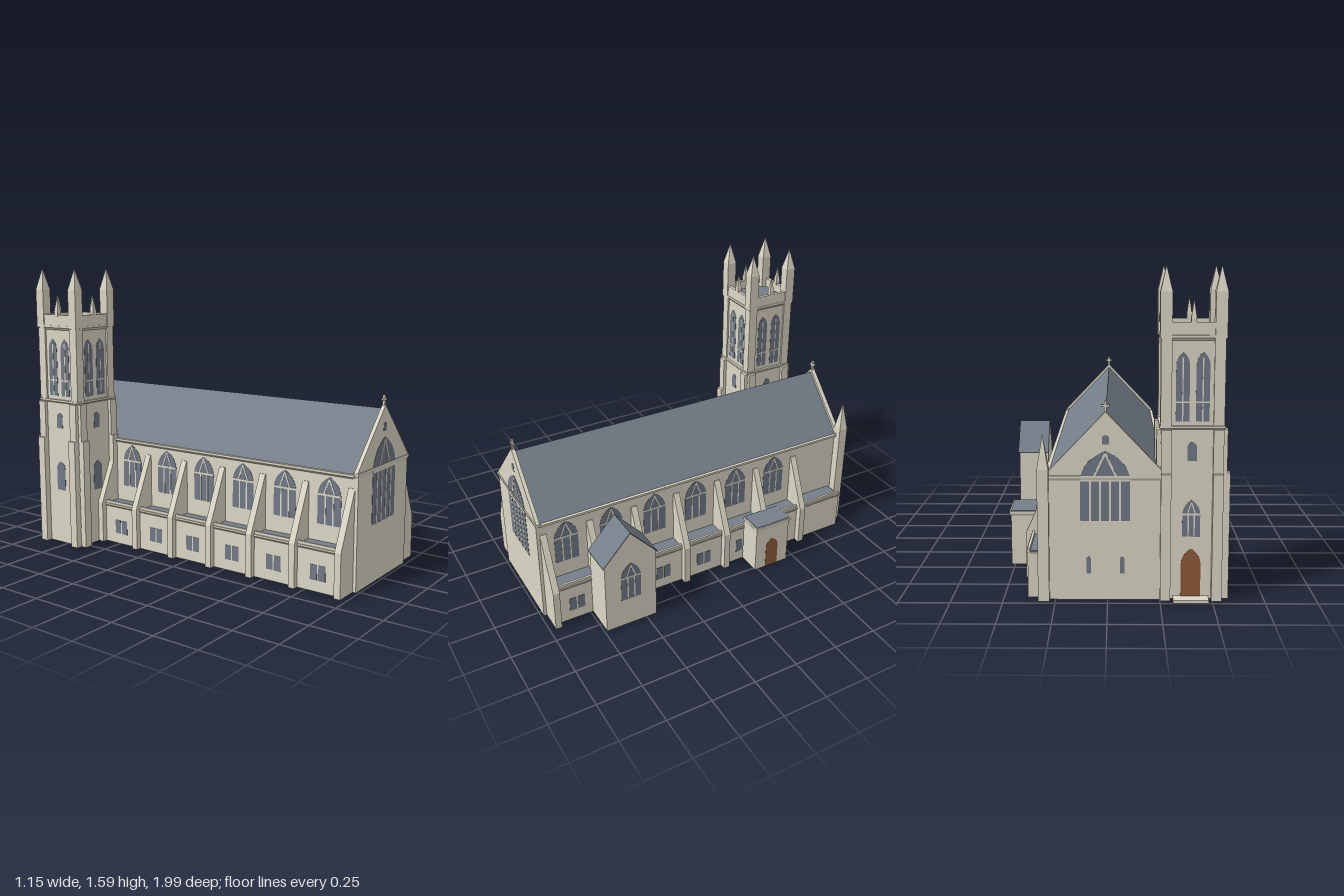
import * as THREE from 'three';

const mat = (name, color, side = THREE.FrontSide) =>
  Object.assign(new THREE.MeshStandardMaterial({ color, side }), { name });

export function createModel() {
  const stone = mat('stone', 0xdcd7c6, THREE.DoubleSide);
  const slate = mat('slate', 0x747e89);
  const glass = mat('glass', 0x717a88);
  const wood = mat('doorWood', 0x8f5a3b);
  const church = new THREE.Group();
  church.name = 'church';

  const group = (name, parent = church) => {
    const g = new THREE.Group();
    g.name = name;
    parent.add(g);
    return g;
  };
  const add = (parent, name, geo, m) => {
    const mesh = new THREE.Mesh(geo, m);
    mesh.name = name;
    parent.add(mesh);
    return mesh;
  };
  // The building is a hollow shell: drop the triangles that lie on the ground
  const openFloor = (source) => {
    const geo = source.index ? source.toNonIndexed() : source;
    const p = geo.attributes.position;
    const kept = [];
    for (let i = 0; i < p.count; i += 3) {
      if ([0, 1, 2].every(k => Math.abs(p.getY(i + k)) < 1e-5)) continue;
      for (let k = 0; k < 3; k++) kept.push(p.getX(i + k), p.getY(i + k), p.getZ(i + k));
    }
    const out = new THREE.BufferGeometry();
    out.setAttribute('position', new THREE.Float32BufferAttribute(kept, 3));
    out.computeVertexNormals();
    return out;
  };
  // Box given by its limits; top and bottom rims can be drawn inwards
  const block = (parent, name, m, [x0, x1], [y0, y1], [z0, z1], inTop = 0, inBottom = 0) => {
    const geo = new THREE.BoxGeometry(x1 - x0, y1 - y0, z1 - z0);
    const p = geo.attributes.position;
    for (let i = 0; i < p.count; i++) {
      const inset = p.getY(i) > 0 ? inTop : inBottom;
      p.setX(i, p.getX(i) - Math.sign(p.getX(i)) * inset);
      p.setZ(i, p.getZ(i) - Math.sign(p.getZ(i)) * inset);
    }
    geo.translate((x0 + x1) / 2, (y0 + y1) / 2, (z0 + z1) / 2);
    return add(parent, name, openFloor(geo), m);
  };
  // Moulded course: a thin lip over a hollowed underside
  const course = (parent, name, x, [y0, y1], z, inset) => {
    const g = group(name, parent);
    const mid = (y0 + y1) / 2;
    block(g, 'lip', stone, x, [mid, y1], z);
    block(g, 'underside', stone, x, [y0, mid], z, 0, inset);
  };
  // Outline in x and y, extruded along z
  const prism = (parent, name, m, pts, z0, z1) => {
    const shape = new THREE.Shape(pts.map(p => new THREE.Vector2(...p)));
    const geo = new THREE.ExtrudeGeometry(shape, { depth: z1 - z0, bevelEnabled: false });
    geo.translate(0, 0, z0);
    return add(parent, name, openFloor(geo), m);
  };
  // Pointed-arch plate standing on y = 0 and facing +z
  const archPlate = (parent, name, m, w, h, spring) => {
    const s = new THREE.Shape();
    const k = spring + (h - spring) * 0.65;
    s.moveTo(-w / 2, 0);
    s.lineTo(w / 2, 0);
    s.lineTo(w / 2, spring);
    s.quadraticCurveTo(w / 2 * 0.95, k, 0, h);
    s.quadraticCurveTo(-w / 2 * 0.95, k, -w / 2, spring);
    const geo = new THREE.ExtrudeGeometry(s, { depth: 0.0015, bevelEnabled: false, curveSegments: 8 });
    return add(parent, name, geo, m);
  };
  const bar = (parent, x0, y0, x1, y1, w) => {
    const mesh = add(parent, 'traceryBar', new THREE.BoxGeometry(w, Math.hypot(x1 - x0, y1 - y0), 0.003), stone);
    mesh.position.set((x0 + x1) / 2, (y0 + y1) / 2, 0.0015);
    mesh.rotation.z = -Math.atan2(x1 - x0, y1 - y0);
  };
  // Window with evenly spaced lights, a transom and splayed bars in the head
  const archWindow = (parent, name, [x, y, z], turn, w, h, spring, lights = 1, transom = 0, splay = 0, t = 0.008) => {
    const g = group(name, parent);
    archPlate(g, 'glass', glass, w, h, spring);
    for (let i = 1; i < lights; i++) {
      const bx = -w / 2 + w * i / lights;
      bar(g, bx, 0, bx, splay ? spring : spring + (h - spring) * 0.6, t);
    }
    if (transom) bar(g, -w / 2, transom, w / 2, transom, t * 1.3);
    if (splay) for (const s of [-1, 1]) bar(g, s * splay, spring, 0, h - 0.012, t);
    g.position.set(x, y, z);
    g.rotation.y = turn;
  };
  const cross = (z) => {
    const g = group('gableCross');
    block(g, 'upright', stone, [0.004, 0.016], [0.9, 0.965], [z - 0.006, z + 0.006]);
    block(g, 'arm', stone, [-0.01, 0.03], [0.936, 0.948], [z - 0.006, z + 0.006]);
  };
  const pinnacle = (parent, x, z, r, y0, y1, y2) => {
    const g = group('pinnacle', parent);
    block(g, 'shaft', stone, [x - r, x + r], [y0, y1], [z - r, z + r]);
    block(g, 'spire', stone, [x - r, x + r], [y1, y2], [z - r, z + r], r);
  };

  // Nave
  const nave = group('nave');
  block(nave, 'naveWalls', stone, [-0.265, 0.285], [0, 0.59], [-0.925, 0.97]);
  prism(nave, 'naveRoof', slate, [[-0.27, 0.598], [0.29, 0.598], [0.01, 0.895]], -0.925, 0.97);
  for (const [a, b] of [[-0.283, -0.247], [0.267, 0.303]])
    course(nave, 'eavesCourse', [a, b], [0.578, 0.602], [-0.925, 0.97], 0.018);
  for (const [z0, z1] of [[-0.95, -0.925], [0.965, 0.985]]) {
    prism(nave, 'gableEnd', stone, [[-0.27, 0], [0.29, 0], [0.29, 0.595], [0.3, 0.61], [0.01, 0.915],
      [-0.28, 0.61], [-0.27, 0.595]], z0, z1);
    course(nave, 'gableString', [-0.28, 0.3], [0.586, 0.61], [z0 - 0.006, z1 + 0.006], 0.007);
    cross((z0 + z1) / 2);
  }
  archWindow(nave, 'frontWindow', [0.012, 0.31, 0.985], 0, 0.255, 0.44, 0.275, 5, 0.277, 0.065, 0.011);
  archWindow(nave, 'backWindow', [0.012, 0.39, -0.95], Math.PI, 0.235, 0.34, 0.2, 5, 0.2, 0.06, 0.01);
  archWindow(nave, 'gableLight', [0.01, 0.78, 0.985], 0, 0.034, 0.046, 0.03);
  archWindow(nave, 'gableLight', [0.01, 0.76, -0.95], Math.PI, 0.034, 0.046, 0.03);
  for (const x of [-0.07, 0.09])
    archWindow(nave, 'slitWindow', [x, 0.13, -0.95], Math.PI, 0.022, 0.085, 0.07);
  pinnacle(nave, 0.305, -0.952, 0.027, 0, 0.645, 0.81);

  // Aisles with buttresses, clerestory windows and paired low windows
  for (const [s, inner, outer, back] of [[1, 0.285, 0.385, -0.92], [-1, 0.265, 0.37, -0.641]]) {
    const aisle = group(s > 0 ? 'leftAisle' : 'rightAisle');
    const span = (a, b) => s > 0 ? [a, b] : [-b, -a];
    block(aisle, 'aisleWalls', stone, span(inner, outer), [0, 0.222], [back, 0.965]);
    block(aisle, 'aisleRoof', slate, span(inner, outer - 0.012), [0.222, 0.23], [back + 0.01, 0.955]);
    block(aisle, 'aisleParapet', stone, span(outer - 0.012, outer), [0.222, 0.247], [back, 0.965]);
    course(aisle, 'aisleString', span(outer - 0.012, outer + 0.007), [0.213, 0.232], [back, 0.965], 0.008);
    for (let i = 0; i < 7; i++) {
      const z = 0.95 - 0.2625 * i;
      const foot = inner + 0.135;
      prism(aisle, 'buttress', stone, [[inner, 0], [foot, 0], [foot, 0.235], [inner + 0.005, 0.53],
        [inner, 0.53]].map(([x, y]) => [s * x, y]), z - 0.018, z + 0.018);
      if (i === 6) continue;
      const mid = z - 0.126;
      archWindow(aisle, 'clerestoryWindow', [s * inner, 0.32, mid], s * Math.PI / 2, 0.135, 0.25, 0.15, 3, 0.155, 0.034);
      for (const d of [-0.024, 0.024])
        block(aisle, 'lowWindow', glass, span(outer, outer + 0.002), [0.06, 0.14], [mid + d - 0.02, mid + d + 0.02]);
    }
  }

  // Gabled side chapel
  const chapel = group('sideChapel');
  const body = prism(chapel, 'chapelWalls', stone,
    [[-0.148, 0], [0.148, 0], [0.148, 0.428], [0, 0.59], [-0.148, 0.428]], 0, 0.18);
  const chapelRoof = prism(chapel, 'chapelRoof', slate,
    [[-0.158, 0.417], [0, 0.591], [0.158, 0.417], [0.158, 0.422], [0, 0.597], [-0.158, 0.422]], 0, 0.188);
  for (const m of [body, chapelRoof]) {
    m.rotation.y = Math.PI / 2;
    m.position.set(0.385, 0, 0.588);
  }
  archWindow(chapel, 'chapelWindow', [0.565, 0.17, 0.588], Math.PI / 2, 0.115, 0.23, 0.14, 3, 0.143, 0.03);

  // Flat-roofed porch
  const porch = group('porch');
  block(porch, 'porchWalls', stone, [0.385, 0.518], [0, 0.275], [-0.45, -0.232]);
  course(porch, 'porchCornice', [0.385, 0.526], [0.268, 0.295], [-0.457, -0.225], 0.008);
  block(porch, 'porchRoof', slate, [0.387, 0.519], [0.29, 0.298], [-0.45, -0.232]);
  const porchDoor = group('porchDoor', porch);
  archPlate(porchDoor, 'doorLeaf', wood, 0.08, 0.19, 0.135);
  porchDoor.position.set(0.518, 0, -0.341);
  porchDoor.rotation.y = Math.PI / 2;

  // Tower, built around its own axis
  const tower = group('tower');
  tower.position.set(-0.397, 0, -0.789);
  const both = (r) => [-r, r];
  block(tower, 'towerBase', stone, both(0.148), [0, 0.835], both(0.148));
  block(tower, 'belfryWalls', stone, both(0.14), [0.835, 1.27], both(0.14));
  course(tower, 'belfryString', both(0.154), [0.824, 0.846], both(0.154), 0.01);
  course(tower, 'parapetString', both(0.153), [1.244, 1.27], both(0.153), 0.013);
  block(tower, 'towerRoof', slate, both(0.135), [1.27, 1.278], both(0.135));
  for (const sx of [-1, 1]) for (const sz of [-1, 1]) {
    const range = (s, a, b) => s > 0 ? [a, b] : [-b, -a];
    block(tower, 'belfryCorner', stone, range(sx, 0.098, 0.15), [0.835, 1.26], range(sz, 0.098, 0.15));
    pinnacle(tower, sx * 0.127, sz * 0.127, 0.028, 1.255, 1.47, 1.59);
  }
  for (let i = 0; i < 4; i++) {
    // One face of the tower, facing +z before it is turned
    const face = group('towerFace', tower);
    face.rotation.y = i * Math.PI / 2;
    for (const [a, b] of [[-0.147, -0.098], [0.098, 0.147]]) {
      block(face, 'lowerButtress', stone, [a, b], [0, 0.62], [0.148, 0.182]);
      block(face, 'upperButtress', stone, [a, b], [0.62, 0.83], [0.148, 0.167]);
    }
    block(face, 'parapet', stone, [-0.11, 0.11], [1.262, 1.33], [0.13, 0.15]);
    pinnacle(face, 0, 0.14, 0.013, 1.32, 1.35, 1.44);
    for (const x of [-0.047, 0.047])
      archWindow(face, 'belfryWindow', [x, 0.867, 0.14], 0, 0.064, 0.325, 0.262, 2, 0.09, 0, 0.006);
    archWindow(face, 'stairLight', [0, 0.68, 0.148], 0, 0.044, 0.09, 0.068);
    if (i === 2) {
      archWindow(face, 'doorWindow', [0, 0.31, 0.148], 0, 0.085, 0.18, 0.11, 3, 0.11, 0.02, 0.006);
      archPlate(group('towerDoor', face), 'doorLeaf', wood, 0.095, 0.235, 0.16).position.set(0, 0.015, 0.148);
      block(face, 'doorStep', stone, [-0.085, 0.085], [0, 0.015], [0.148, 0.211]);
    } else {
      archWindow(face, 'lowerWindow', [0, 0.315, 0.148], 0, 0.066, 0.17, 0.128);
    }
  }
  return church;
}
